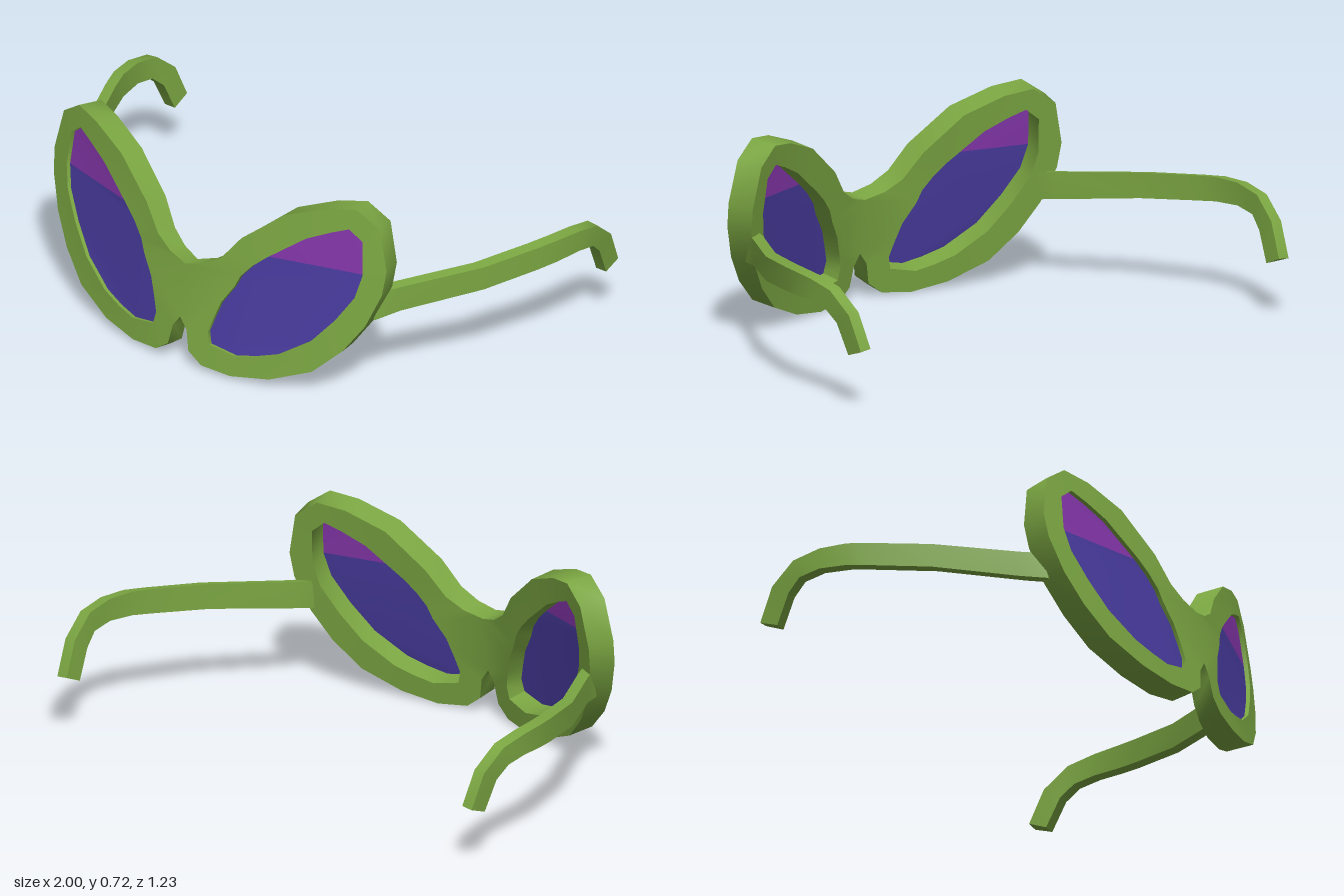
import * as THREE from 'three';
import { toCreasedNormals } from 'three/addons/utils/BufferGeometryUtils.js';

// Half outline of the frame, from the top of the bridge round to the nose gap
const RIM = [[0, .38], [.075, .4], [.14, .44], [.21, .53], [.36, .65], [.51, .705], [.615, .72],
  [.7, .66], [.735, .51], [.727, .42], [.68, .295], [.61, .19], [.51, .095], [.36, .035],
  [.215, .014], [.1, .025], [.045, .065], [.03, .14], [0, .18]];

// Lens opening, one point for each rim point
const OPENING = [[.2, .345], [.22, .39], [.26, .437], [.31, .48], [.445, .58], [.53, .62],
  [.595, .645], [.645, .605], [.655, .48], [.635, .395], [.575, .3], [.495, .205], [.38, .13],
  [.3, .105], [.225, .09], [.125, .11], [.115, .155], [.132, .21], [.155, .275]];
const LENS_TOP = OPENING.slice(3, 9);
const LENS_BOTTOM = [...OPENING.slice(8), ...OPENING.slice(0, 4)];
const LENS_DEPTH = .15;

// Temple sections: z top, y top, z bottom, y bottom, x
const TEMPLE = [[.34, .395, .36, .29, .65], [.27, .4, .27, .302, .69], [.01, .422, .01, .33, .855],
  [-.19, .439, -.19, .349, .935], [-.27, .445, -.27, .357, .962], [-.37, .442, -.37, .36, .977],
  [-.475, .42, -.45, .345, .976], [-.565, .345, -.5, .3, .965], [-.618, .222, -.55, .193, .955]];

// Places a point on the wrapped, leaning front; depth 0 is the front face, 1 the back
function bend(x, y, depth) {
  const a = Math.abs(x);
  const thickness = .095 - .025 * Math.max(0, 1 - a / .2);
  return [x * (1 - .04 * depth), y - .013 * depth,
    .63 - .1 * a - .2 * a * a - .14 * y - thickness * depth];
}

function solid(position, index, crease) {
  const geometry = new THREE.BufferGeometry();
  geometry.setAttribute('position', new THREE.Float32BufferAttribute(position, 3));
  geometry.setIndex(index);
  return toCreasedNormals(geometry, crease);
}

// Adds a quad, turned round on the mirrored side
function quad(index, side, a, b, c, d) {
  if (side > 0) index.push(a, b, c, a, c, d);
  else index.push(a, c, b, a, d, c);
}

// Front face, opening wall, back face and outer wall as bands between four loops per half
function frameGeometry() {
  const position = [], index = [], n = RIM.length;
  const loops = [[RIM, 0], [OPENING, 0], [OPENING, 1], [RIM, 1]];
  for (const side of [1, -1]) {
    const base = position.length / 3;
    for (const [list, depth] of loops) {
      for (const [x, y] of list) position.push(...bend(x * side, y, depth));
    }
    for (let k = 0; k < 4; k++) {
      const from = base + k * n, to = base + (k + 1) % 4 * n;
      // The outer wall stays open along the middle, where the halves join
      const count = k === 3 ? n - 1 : n;
      for (let i = 0; i < count; i++) {
        const j = (i + 1) % n;
        quad(index, side, from + i, to + i, to + j, from + j);
      }
    }
  }
  return solid(position, index, .9);
}

function lensGeometry(list, side) {
  const shape = new THREE.Shape(list.map(([x, y]) => new THREE.Vector2(x * side, y)));
  const geometry = new THREE.ShapeGeometry(shape);
  const p = geometry.attributes.position;
  for (let i = 0; i < p.count; i++) p.setXYZ(i, ...bend(p.getX(i), p.getY(i), LENS_DEPTH));
  geometry.computeVertexNormals();
  return geometry;
}

// Four-cornered bar swept through the temple sections
function templeGeometry(side) {
  const position = [], index = [], w = .022;
  for (const [zt, yt, zb, yb, x] of TEMPLE) {
    position.push(side * (x - w), yb, zb, side * (x + w), yb, zb,
      side * (x + w), yt - .005, zt, side * (x - w), yt, zt);
  }
  const last = (TEMPLE.length - 1) * 4;
  for (let i = 0; i < last; i += 4) {
    for (let k = 0; k < 4; k++) {
      const n = (k + 1) % 4;
      quad(index, side, i + k, i + 4 + k, i + 4 + n, i + n);
    }
  }
  quad(index, side, 0, 1, 2, 3);
  quad(index, side, last + 3, last + 2, last + 1, last);
  return solid(position, index, .6);
}

export function createModel() {
  const group = new THREE.Group();
  group.name = 'sunglasses';
  const material = (name, color, side = THREE.FrontSide) =>
    Object.assign(new THREE.MeshStandardMaterial({ color, side }), { name });
  const green = material('green', 0x7ba642);
  const blue = material('blue', 0x483b9e, THREE.DoubleSide);
  const purple = material('purple', 0x8436aa, THREE.DoubleSide);

  const add = (name, geometry, mat) => {
    const mesh = new THREE.Mesh(geometry, mat);
    mesh.name = name;
    group.add(mesh);
  };

  add('frame', frameGeometry(), green);
  for (const [label, side] of [['left', 1], ['right', -1]]) {
    add(label + 'LensTop', lensGeometry(LENS_TOP, side), purple);
    add(label + 'LensBottom', lensGeometry(LENS_BOTTOM, side), blue);
    add(label + 'Temple', templeGeometry(side), green);
  }
  return group;
}
